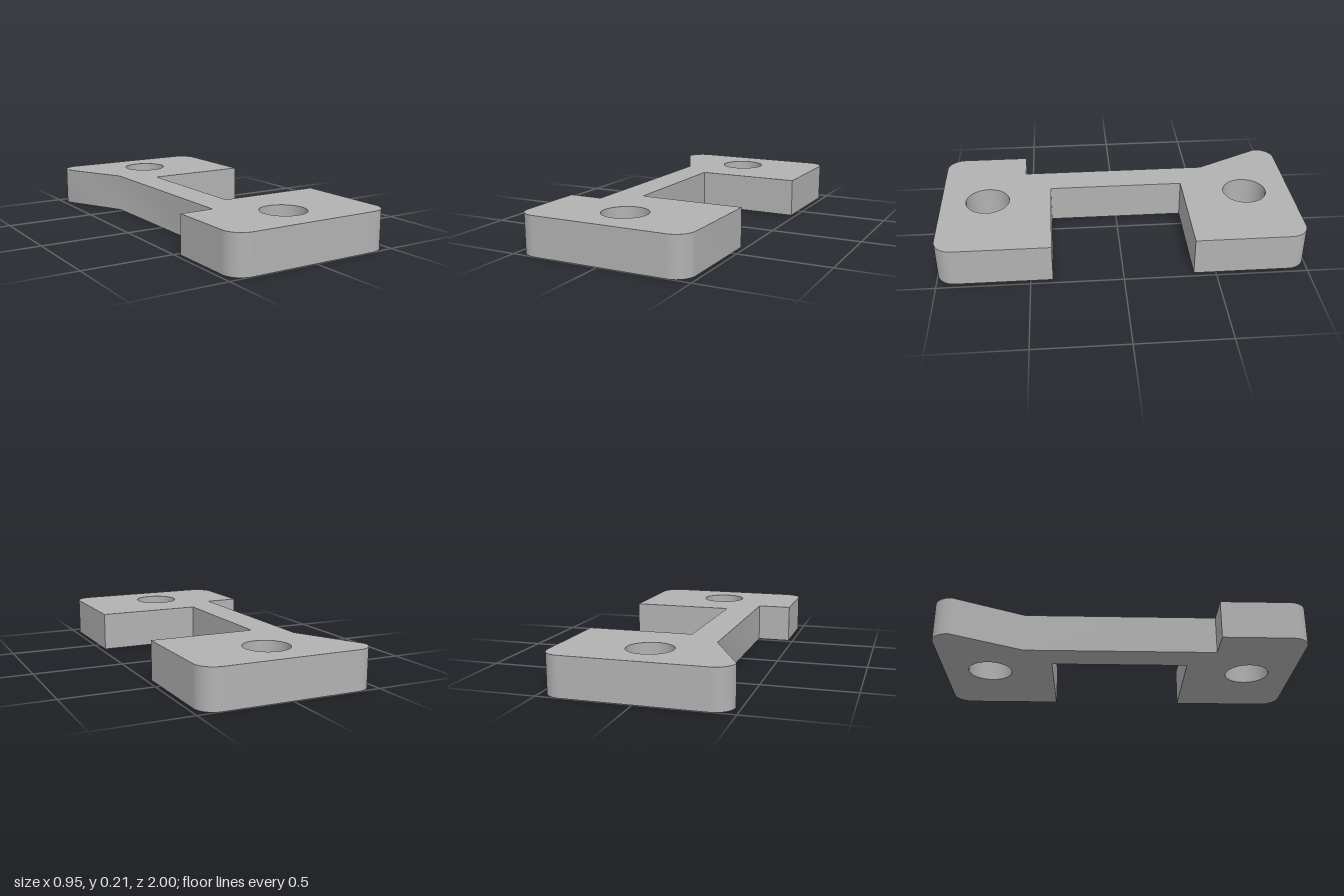
import * as THREE from 'three';
import { toCreasedNormals } from 'three/addons/utils/BufferGeometryUtils.js';

const HALF_W = 0.473, HALF_L = 1, HEIGHT = 0.212, CORNER = 0.1;
const WEB_LEFT = -0.285, WEB_RIGHT = -0.108; // x limits of the connecting bar
const SHORT_Z = 0.527, LONG_Z = 0.38;        // inner edges of the end pads
const HOLE_Z = 0.738, HOLE_R = 0.123;

export function createModel() {
  const group = new THREE.Group();
  group.name = 'bracket';

  const grey = new THREE.MeshStandardMaterial({ color: 0xb2b2b2 });
  grey.name = 'grey';

  // Plan outline: x across, shape y becomes z
  const plan = new THREE.Shape();
  const cx = HALF_W - CORNER, cz = HALF_L - CORNER, q = Math.PI / 2;
  plan.moveTo(-HALF_W, -SHORT_Z);
  plan.absarc(-cx, -cz, CORNER, 2 * q, 3 * q);
  plan.absarc(cx, -cz, CORNER, 3 * q, 4 * q);
  plan.lineTo(HALF_W, -LONG_Z);
  plan.lineTo(WEB_RIGHT, -LONG_Z);
  plan.lineTo(WEB_RIGHT, LONG_Z);
  plan.lineTo(HALF_W, LONG_Z);
  plan.absarc(cx, cz, CORNER, 0, q);
  plan.absarc(-cx, cz, CORNER, q, 2 * q);
  plan.lineTo(-HALF_W, SHORT_Z);
  plan.lineTo(WEB_LEFT, SHORT_Z);
  plan.lineTo(WEB_LEFT, -SHORT_Z);
  plan.closePath();

  // Bolt hole through each pad
  for (const side of [-1, 1]) {
    const hole = new THREE.Path();
    hole.absarc(0, side * HOLE_Z, HOLE_R, 0, Math.PI * 2, true);
    plan.holes.push(hole);
  }

  // Extrude and lay flat on the ground
  const geometry = new THREE.ExtrudeGeometry(plan, { depth: HEIGHT, bevelEnabled: false, curveSegments: 24 });
  geometry.rotateX(q);
  geometry.translate(0, HEIGHT, 0);

  const plate = new THREE.Mesh(toCreasedNormals(geometry, 0.6), grey);
  plate.name = 'bracketPlate';
  group.add(plate);
  return group;
}
